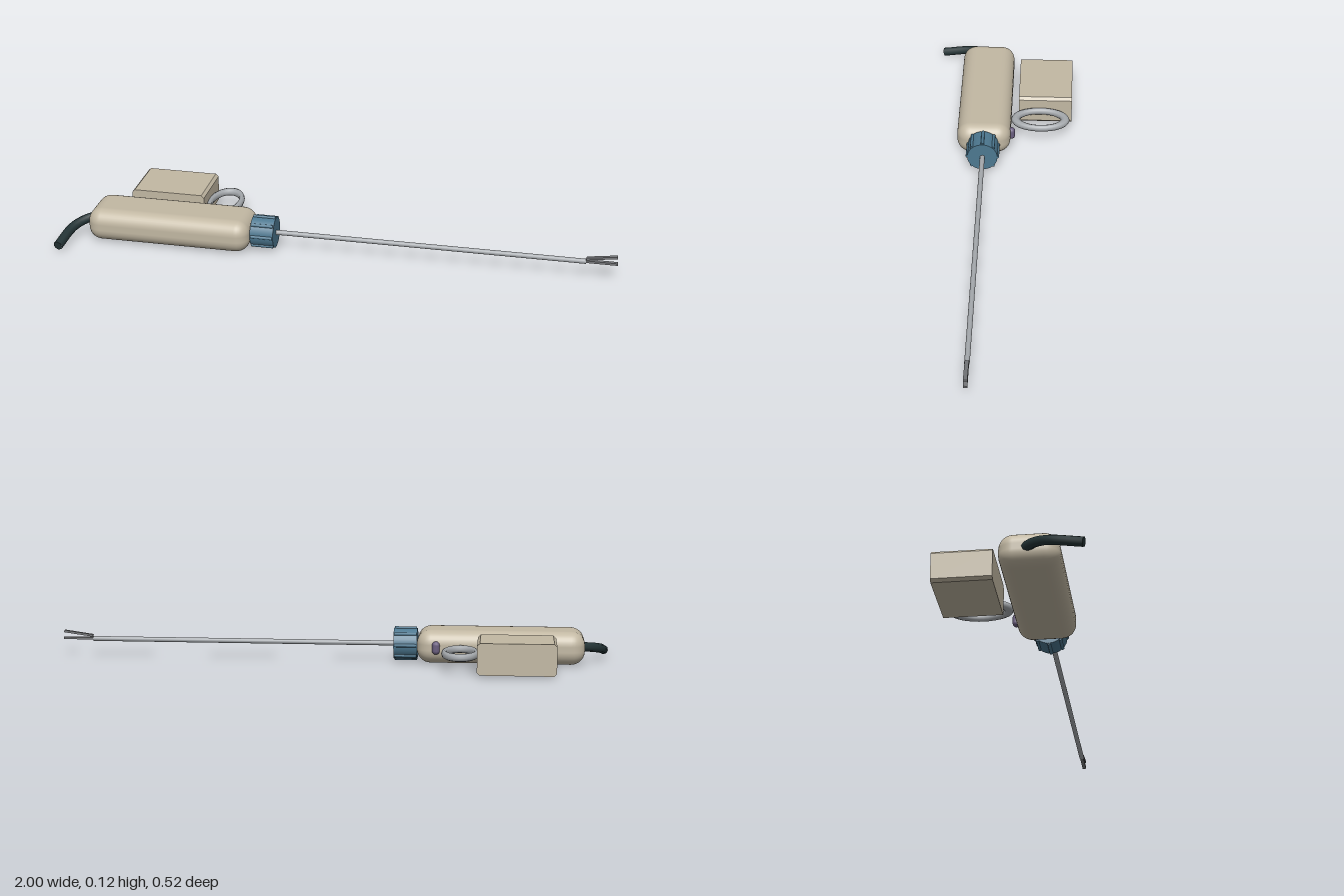
import * as THREE from 'three';
import { RoundedBoxGeometry } from 'three/addons/geometries/RoundedBoxGeometry.js';

const AXIS_Y = 0.063, AXIS_Z = 0.07;

export function createModel() {
  const group = new THREE.Group();
  const mat = (name, color, flatShading = false) => {
    const m = new THREE.MeshStandardMaterial({ color, flatShading });
    m.name = name;
    return m;
  };
  const beige = mat('beige casing', 0xc2b8a3);
  const blue = mat('blue dial', 0x4d7890);
  const steel = mat('steel', 0xa6aaae);
  const darkSteel = mat('dark steel', 0x75777a);
  const rubber = mat('dark cable', 0x243436);
  const purple = mat('purple button', 0x6b5f80);

  const add = (name, geometry, material, x = 0, y = 0, z = 0) => {
    const mesh = new THREE.Mesh(geometry, material);
    mesh.name = name;
    mesh.position.set(x, y, z);
    group.add(mesh);
    return mesh;
  };
  const rod = (radius, length, sides) =>
    new THREE.CylinderGeometry(radius, radius, length, sides).rotateZ(Math.PI / 2);

  // Rounded handle body
  add('handleBody', new RoundedBoxGeometry(0.6, 0.12, 0.2, 4, 0.05), beige, -0.605, AXIS_Y, AXIS_Z);

  // Rotation dial with grip ribs
  add('dial', rod(0.056, 0.085, 32), blue, -0.2625, AXIS_Y, AXIS_Z);
  for (let i = 0; i < 8; i++) {
    const a = (i * Math.PI) / 4;
    add('dialRib', rod(0.006, 0.08, 8), blue, -0.2625,
      AXIS_Y + Math.cos(a) * 0.056, AXIS_Z + Math.sin(a) * 0.056);
  }

  // Long shaft and the two jaws
  add('shaft', rod(0.009, 1.12, 16), steel, 0.33, AXIS_Y, AXIS_Z);
  add('lowerJaw', new THREE.BoxGeometry(0.11, 0.008, 0.014), darkSteel, 0.945, 0.064, AXIS_Z);
  const upperJaw = add('upperJaw', new THREE.BoxGeometry(0.108, 0.008, 0.014), darkSteel, 0.945, 0.082, AXIS_Z);
  upperJaw.rotation.z = 0.14;

  // Oval finger ring
  const ring = new THREE.TorusGeometry(0.075, 0.014, 8, 32).rotateX(Math.PI / 2).scale(0.75, 1, 1.25);
  add('fingerRing', ring, steel, -0.465, 0.064, -0.14);

  // Chamfered rear grip block, extruded along z
  const w = 0.1375, h = 0.056, c = 0.01;
  const profile = new THREE.Shape([
    [-w + c, -h], [w - c, -h], [w, -h + c], [w, h - c],
    [w - c, h], [-w + c, h], [-w, h - c], [-w, -h + c],
  ].map(([x, y]) => new THREE.Vector2(x, y)));
  const block = new THREE.ExtrudeGeometry(profile, { depth: 0.202, bevelEnabled: false });
  add('gripBlock', block, beige, -0.6625, 0.064, -0.259);

  // Push button behind the dial
  add('button', new THREE.CapsuleGeometry(0.014, 0.02, 4, 10), purple, -0.375, 0.064, -0.033);

  // Bent cable leaving the back end
  const path = new THREE.CatmullRomCurve3([
    [-0.89, 0.062, 0.06], [-0.93, 0.056, 0.09], [-0.963, 0.045, 0.14], [-0.983, 0.02, 0.256],
  ].map((p) => new THREE.Vector3(...p)));
  add('cable', new THREE.TubeGeometry(path, 10, 0.017, 8), rubber);
  const end = new THREE.CircleGeometry(0.017, 8);
  const cap = add('cableEnd', end, rubber, -0.983, 0.02, 0.256);
  cap.lookAt(path.getPoint(1).add(path.getTangent(1)));

  return group;
}
